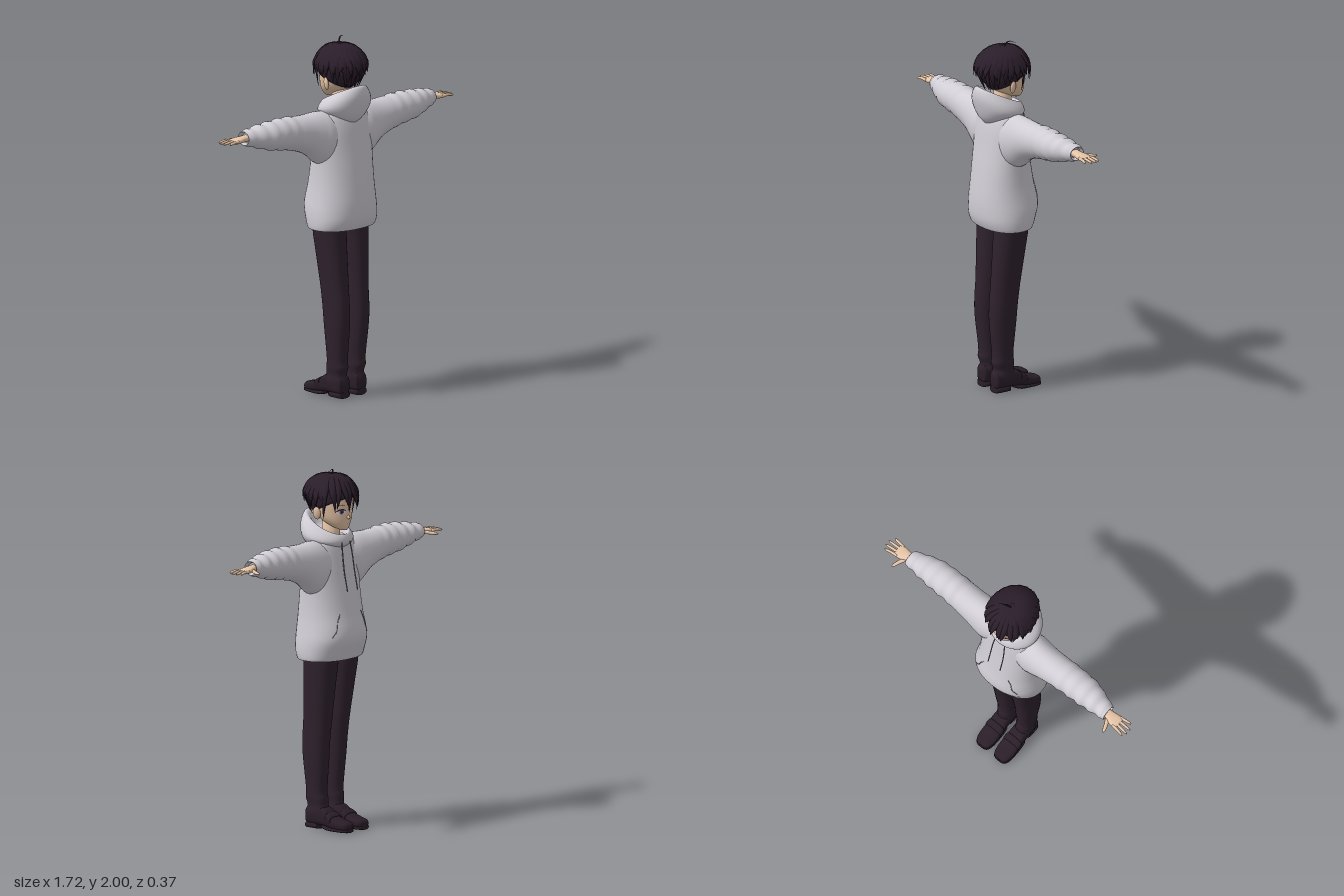
import * as THREE from 'three';

const V = (x, y, z) => new THREE.Vector3(x, y, z);
const X = V(1, 0, 0), Y = V(0, 1, 0), Z = V(0, 0, 1), BACK = V(0, 0, -1), DOWN = V(0, -1, 0);
const mix = THREE.MathUtils.lerp;

// Superellipse ring around a centre; U x V points along the loft
function ring(c, U, W, ru, rw, n = 28, p = 2) {
  return Array.from({ length: n }, (_, i) => {
    const a = i / n * Math.PI * 2, co = Math.cos(a), si = Math.sin(a);
    return c.clone()
      .addScaledVector(U, ru * Math.sign(co) * Math.abs(co) ** (2 / p))
      .addScaledVector(W, rw * Math.sign(si) * Math.abs(si) ** (2 / p));
  });
}

// Smooth closed skin over rings, with fan caps
function loft(rings) {
  const n = rings[0].length, m = rings.length, pts = rings.flat(), idx = [];
  for (let i = 0; i < m - 1; i++) for (let j = 0; j < n; j++) {
    const a = i * n + j, b = i * n + (j + 1) % n;
    idx.push(a, b, b + n, a, b + n, a + n);
  }
  [0, m - 1].forEach(r => {
    const c = pts.length, base = r * n;
    pts.push(rings[r].reduce((s, q) => s.add(q), V(0, 0, 0)).divideScalar(n));
    for (let j = 0; j < n; j++) {
      const a = base + j, b = base + (j + 1) % n;
      idx.push(c, r ? a : b, r ? b : a);
    }
  });
  const g = new THREE.BufferGeometry().setFromPoints(pts);
  g.setIndex(idx);
  g.computeVertexNormals();
  return g;
}

// Spline through rows of numbers
function dense(keys, per = 4) {
  const out = [], at = i => keys[Math.min(keys.length - 1, Math.max(0, i))];
  for (let i = 0; i < keys.length - 1; i++) for (let s = 0; s < per; s++) {
    const t = s / per;
    out.push(keys[i].map((b, k) => {
      const a = at(i - 1)[k], c = at(i + 1)[k], d = at(i + 2)[k];
      return b + 0.5 * t * (c - a + t * (2 * a - 5 * b + 4 * c - d + t * (3 * (b - c) + d - a)));
    }));
  }
  return [...out, keys[keys.length - 1]];
}

// Rows [y, centreX, radiusX, zFront, zBack]
const upright = (keys, n, p) => loft(keys.map(([y, cx, rx, f, b]) =>
  ring(V(cx, y, (f + b) / 2), X, BACK, rx, (b - f) / 2, n, p)));
// Rows [x, yLow, yHigh, zFront, zBack]
const sideways = (keys, n, p) => loft(keys.map(([x, lo, hi, f, b]) =>
  ring(V(x, (lo + hi) / 2, (f + b) / 2), Y, Z, (hi - lo) / 2, (b - f) / 2, n, p)));

// Front surface depth of an upright form
function frontZ(keys, x, y, p = 2) {
  const i = Math.max(1, keys.findIndex(k => k[0] >= y)), a = keys[i - 1], b = keys[i];
  const k = a.map((v, j) => mix(v, b[j], (y - a[0]) / (b[0] - a[0])));
  return (k[3] + k[4]) / 2 - (k[4] - k[3]) / 2 * Math.max(0, 1 - Math.abs(x / k[2]) ** p) ** (1 / p);
}

// Tapered strand: width and thickness follow the curve, flat side faces away from a centre
function strand(points, width, thick, taper, centre, n = 6, steps = 9) {
  const curve = new THREE.CatmullRomCurve3(points);
  return loft(Array.from({ length: steps + 1 }, (_, i) => {
    const u = i / steps, c = curve.getPoint(u), T = curve.getTangent(u), f = taper(u);
    const N = c.clone().sub(centre);
    N.addScaledVector(T, -N.dot(T)).normalize();
    return ring(c, N, T.clone().cross(N), thick * f, width * f, n);
  }));
}

export function createModel() {
  const model = new THREE.Group();
  const mat = (name, color) => Object.assign(new THREE.MeshStandardMaterial({ color }), { name });
  const hairMat = mat('darkHair', 0x2b1e2b), cloth = mat('greyCloth', 0xd0cdd4), trouser = mat('darkTrousers', 0x2f222d);
  const leather = mat('darkLeather', 0x2a1e28), skin = mat('skin', 0xf0cdae), white = mat('eyeWhite', 0xf2eef0);
  const irisMat = mat('violetIris', 0x5a5590), line = mat('darkLine', 0x2a2230), cordMat = mat('greyCord', 0x827e88);
  const lip = mat('lip', 0xb97a6c);

  const add = (name, geo, m) => {
    const mesh = new THREE.Mesh(geo, m);
    mesh.name = name;
    model.add(mesh);
  };
  // Adds a part at the model's +x side and its mirror image
  const pair = (name, geo, m) => {
    const other = geo.clone().applyMatrix4(new THREE.Matrix4().makeScale(-1, 1, 1));
    other.index.array.reverse();
    add(name + 'A', geo, m);
    add(name + 'B', other, m);
  };

  // Hoodie body
  const torso = dense([[0.985, 0, 0.18, -0.10, 0.13], [0.952, 0, 0.195, -0.118, 0.15], [0.955, 0, 0.206, -0.127, 0.16],
    [1.0, 0, 0.21, -0.145, 0.176], [1.06, 0, 0.207, -0.165, 0.18], [1.12, 0, 0.198, -0.162, 0.178], [1.2, 0, 0.188, -0.143, 0.17],
    [1.3, 0, 0.184, -0.124, 0.158], [1.4, 0, 0.185, -0.106, 0.143], [1.5, 0, 0.18, -0.09, 0.13],
    [1.57, 0, 0.165, -0.078, 0.115], [1.605, 0, 0.135, -0.068, 0.1], [1.625, 0, 0.07, -0.05, 0.07]], 3);
  add('hoodieBody', upright(torso, 40, 2.25), cloth);

  // Sleeves with soft folds towards the cuff
  const sleeve = dense([[0.05, 1.37, 1.6, -0.07, 0.1], [0.14, 1.31, 1.61, -0.088, 0.115], [0.19, 1.325, 1.612, -0.088, 0.108],
    [0.26, 1.38, 1.608, -0.084, 0.098], [0.34, 1.415, 1.61, -0.08, 0.094], [0.42, 1.435, 1.616, -0.078, 0.092],
    [0.54, 1.455, 1.61, -0.076, 0.085], [0.62, 1.478, 1.6, -0.07, 0.06], [0.695, 1.5, 1.586, -0.064, 0.032],
    [0.702, 1.508, 1.578, -0.056, 0.024], [0.68, 1.515, 1.57, -0.05, 0.018]], 6)
    .map(([x, lo, hi, f, b]) => {
      const w = 0.005 * Math.sin(x * 85) * THREE.MathUtils.smoothstep(x, 0.3, 0.45) * (x < 0.68 ? 1 : 0);
      return [x, lo - w * 0.6, hi + w, f - w, b + w * 0.5];
    });
  pair('sleeve', sideways(sleeve, 28), cloth);

  // Hood lying on the shoulders: rows [yFront, yBack, radiusX, zFront, zBack]
  const hood = dense([[1.56, 1.535, 0.06, -0.07, 0.115], [1.575, 1.575, 0.115, -0.088, 0.15], [1.59, 1.635, 0.15, -0.1, 0.172],
    [1.61, 1.695, 0.142, -0.102, 0.184], [1.632, 1.74, 0.115, -0.094, 0.178], [1.636, 1.753, 0.1, -0.086, 0.163],
    [1.625, 1.735, 0.084, -0.076, 0.14], [1.6, 1.66, 0.07, -0.06, 0.1]], 3);
  add('hood', loft(hood.map(([yf, yb, rx, f, b]) => {
    const pts = ring(V(0, 0, (f + b) / 2), X, BACK, rx, (b - f) / 2, 36);
    pts.forEach(q => { q.y = mix(yf, yb, (q.z - f) / (b - f)); });
    return pts;
  })), cloth);

  // Drawstrings and pocket openings
  const tube = (pts, r) => new THREE.TubeGeometry(new THREE.CatmullRomCurve3(pts), 14, r, 6);
  pair('drawstring', tube([V(0.03, 1.62, -0.092), V(0.038, 1.55, -0.105), V(0.042, 1.44, -0.122), V(0.042, 1.33, -0.145)], 0.0035), cordMat);
  pair('pocketOpening', tube([[0.085, 1.21], [0.105, 1.17], [0.12, 1.12], [0.145, 1.085]]
    .map(([x, y]) => V(x, y, frontZ(torso.slice(6), x, y, 2.25))), 0.0025), cordMat);

  // Trouser legs
  const leg = dense([[0.04, 0.062, 0.04, -0.02, 0.1], [0.09, 0.064, 0.05, -0.025, 0.115], [0.13, 0.064, 0.047, -0.012, 0.106],
    [0.17, 0.066, 0.05, -0.012, 0.118], [0.22, 0.067, 0.05, -0.006, 0.114], [0.4, 0.071, 0.058, -0.022, 0.133],
    [0.5, 0.073, 0.06, -0.03, 0.134], [0.62, 0.074, 0.063, -0.045, 0.125], [0.8, 0.08, 0.072, -0.07, 0.115],
    [0.93, 0.083, 0.08, -0.088, 0.108], [1.02, 0.083, 0.083, -0.09, 0.11]]);
  pair('trouserLeg', upright(leg, 28, 2.3), trouser);

  // Shoes: rows [z, yLow, yHigh, halfWidth]
  const shoeLoft = rows => loft(dense(rows, 3).map(([z, lo, hi, w]) =>
    ring(V(0.063, (lo + hi) / 2, z), X, DOWN, w, (hi - lo) / 2, 24, 3)));
  pair('shoeUpper', shoeLoft([[0.11, 0.03, 0.1, 0.03], [0.1, 0.02, 0.125, 0.042], [0.04, 0.02, 0.135, 0.046], [-0.02, 0.02, 0.12, 0.048],
    [-0.06, 0.015, 0.088, 0.051], [-0.12, 0.01, 0.064, 0.052], [-0.165, 0.01, 0.054, 0.043], [-0.18, 0.015, 0.04, 0.025]]), leather);
  pair('shoeSole', shoeLoft([[-0.01, 0.012, 0.03, 0.046], [-0.05, 0, 0.024, 0.051], [-0.13, 0, 0.022, 0.052],
    [-0.17, 0, 0.022, 0.042], [-0.182, 0, 0.022, 0.024]]), leather);
  pair('shoeHeel', shoeLoft([[0.112, 0, 0.035, 0.03], [0.1, 0, 0.035, 0.044], [0.05, 0, 0.035, 0.045], [0.022, 0, 0.035, 0.042]]), leather);
  pair('shoeStrap', shoeLoft([[-0.045, 0.04, 0.1, 0.05], [-0.052, 0.03, 0.1, 0.053], [-0.075, 0.03, 0.087, 0.054], [-0.08, 0.03, 0.08, 0.051]]), leather);

  // Hands: palm, four fingers and a thumb pointing forward
  pair('palm', sideways(dense([[0.66, 1.52, 1.562, -0.045, 0.01], [0.71, 1.524, 1.558, -0.046, 0.008], [0.74, 1.523, 1.555, -0.058, 0.012],
    [0.775, 1.524, 1.55, -0.062, 0.016], [0.79, 1.53, 1.545, -0.056, 0.01]], 3), 18, 2.4), skin);
  const tip = u => 1 - 0.3 * u - 0.5 * Math.max(0, u - 0.85) / 0.15;
  const below = V(0.78, 0.5, 0);
  [[-0.053, -0.066, 0.843], [-0.033, -0.042, 0.857], [-0.013, -0.014, 0.858], [0.007, 0.018, 0.838]].forEach(([z0, z1, x1], i) =>
    pair('finger' + (i + 1), strand([V(0.765, 1.538, z0), V(0.81, 1.54, mix(z0, z1, 0.5)), V(x1, 1.534, z1)], 0.0095, 0.0095, tip, below, 8), skin));
  pair('thumb', strand([V(0.715, 1.536, -0.035), V(0.735, 1.533, -0.075), V(0.75, 1.53, -0.117)], 0.013, 0.011, tip, below, 8), skin);

  // Neck, head, ears and nose
  add('neck', upright([[1.56, 0, 0.056, -0.05, 0.07], [1.64, 0, 0.047, -0.04, 0.06], [1.74, 0, 0.047, -0.035, 0.06]], 20), skin);
  const head = dense([[1.662, 0, 0.018, -0.1, -0.06], [1.675, 0, 0.04, -0.106, -0.02], [1.7, 0, 0.069, -0.11, 0.03], [1.73, 0, 0.09, -0.113, 0.075],
    [1.77, 0, 0.103, -0.114, 0.105], [1.82, 0, 0.108, -0.118, 0.115], [1.88, 0, 0.1, -0.11, 0.11], [1.93, 0, 0.06, -0.06, 0.07]]);
  add('head', upright(head, 36), skin);
  pair('ear', new THREE.SphereGeometry(1, 14, 10).scale(0.012, 0.036, 0.022).rotateY(0.4).rotateZ(-0.15).translate(0.113, 1.758, 0.015), skin);
  add('nose', loft([ring(V(0, 1.738, -0.105), X, DOWN, 0.011, 0.016, 10), ring(V(0, 1.735, -0.12), X, DOWN, 0.006, 0.009, 10),
    ring(V(0, 1.733, -0.127), X, DOWN, 0.002, 0.003, 10)]), skin);

  // Painted face details follow the face; negating x turns them to the front
  const patch = (pts, lift) => {
    const g = new THREE.ShapeGeometry(new THREE.Shape(pts.map(([x, y]) => new THREE.Vector2(x, y)))), q = g.attributes.position;
    for (let i = 0; i < q.count; i++) q.setXYZ(i, -q.getX(i), q.getY(i), frontZ(head, q.getX(i), q.getY(i)) - lift);
    g.computeVertexNormals();
    return g;
  };
  const oval = (cx, cy, rx, ry) => Array.from({ length: 18 }, (_, i) => [cx + rx * Math.cos(i * Math.PI / 9), cy + ry * Math.sin(i * Math.PI / 9)]);
  pair('eyeWhite', patch(oval(0.046, 1.768, 0.023, 0.013), 0.002), white);
  pair('iris', patch(oval(0.045, 1.768, 0.0115, 0.013), 0.0035), irisMat);
  pair('pupil', patch(oval(0.045, 1.768, 0.005, 0.007), 0.005), line);
  pair('upperLash', patch([[0.02, 1.771], [0.032, 1.777], [0.046, 1.779], [0.062, 1.775], [0.075, 1.768], [0.07, 1.778], [0.058, 1.785], [0.044, 1.787], [0.03, 1.782]], 0.006), line);
  pair('eyebrow', patch([[0.022, 1.799], [0.045, 1.807], [0.07, 1.8], [0.045, 1.811]], 0.003), line);
  add('mouth', patch([[-0.018, 1.702], [0, 1.6995], [0.018, 1.702], [0, 1.7025]], 0.003), lip);

  // Hair cap: low at the nape, high at the forehead
  const capRings = Array.from({ length: 15 }, (_, i) => Array.from({ length: 36 }, (_, j) => {
    const a = j / 36 * Math.PI * 2, back = (1 - Math.sin(a)) / 2;
    const th = mix(0.47, 0.8, back) * Math.PI * (1 - i / 14.2);
    return V(0.122 * Math.sin(th) * Math.cos(a), 1.835 + 0.13 * Math.cos(th), 0.005 - 0.135 * Math.sin(th) * Math.sin(a));
  }));
  add('hairCap', loft(capRings), hairMat);

  // Hair locks radiate from the crown; angle 0 is the front
  const at = (a, k, y) => V(Math.sin(a) * 0.125 * k, y, 0.005 - Math.cos(a) * (0.1425 - 0.0075 * Math.cos(a)) * k);
  const heart = V(0, 1.82, 0.005), lockTaper = u => Math.max(0.03, Math.min(0.45 + 1.2 * u, 1) * (1 - u ** 3));
  const lock = (name, a, swing, w, endK, endY, midK = 1.05) => add(name, strand(
    [at(a, 0.12, 1.962), at(a, 0.62, 1.943), at(a + swing * 0.3, midK, 1.87), at(a + swing, endK, endY)], w, 0.011, lockTaper, heart), hairMat);
  let seed = 7;
  const rnd = () => (seed = seed * 16807 % 2147483647) / 2147483647;
  // Long layer around the sides and nape
  for (let i = 0; i < 17; i++) {
    const a = mix(1.35, Math.PI * 2 - 1.35, i / 16), back = (1 - Math.cos(a)) / 2;
    lock('longLock', a, (rnd() - 0.5) * 0.2, 0.031, mix(1.1, 0.72, Math.max(0, back * 2 - 1)), mix(1.8, 1.715, Math.max(0, back * 2 - 1)) + rnd() * 0.02, 1.07);
  }
  // Short upper layer with flicked ends
  for (let i = 0; i < 16; i++) {
    const a = mix(0.9, Math.PI * 2 - 0.9, i / 15);
    lock('upperLock', a, (rnd() - 0.5) * 0.3, 0.026, 1.1 + rnd() * 0.05, 1.795 + rnd() * 0.045, 1.08);
  }
  // Fringe, with longer strands framing the face
  [[-1.15, 1.735, 1.0], [-0.9, 1.775, 1.08], [-0.65, 1.79, 1.12], [-0.4, 1.775, 1.13], [-0.15, 1.8, 1.14], [0.08, 1.765, 1.12],
    [0.32, 1.8, 1.14], [0.58, 1.79, 1.12], [0.85, 1.77, 1.08], [1.15, 1.735, 1.0]].forEach(([a, y, k], i) =>
    lock('fringeLock', a, i % 2 ? 0.12 : -0.08, 0.024, k, y));
  // Stray curl on the crown
  add('crownCurl', strand([V(0, 1.955, 0), V(0.006, 1.978, -0.008), V(0.028, 1.994, -0.022), V(0.062, 1.99, -0.036)],
    0.006, 0.004, u => Math.max(0.05, 1 - u * u), heart), hairMat);

  return model;
}
